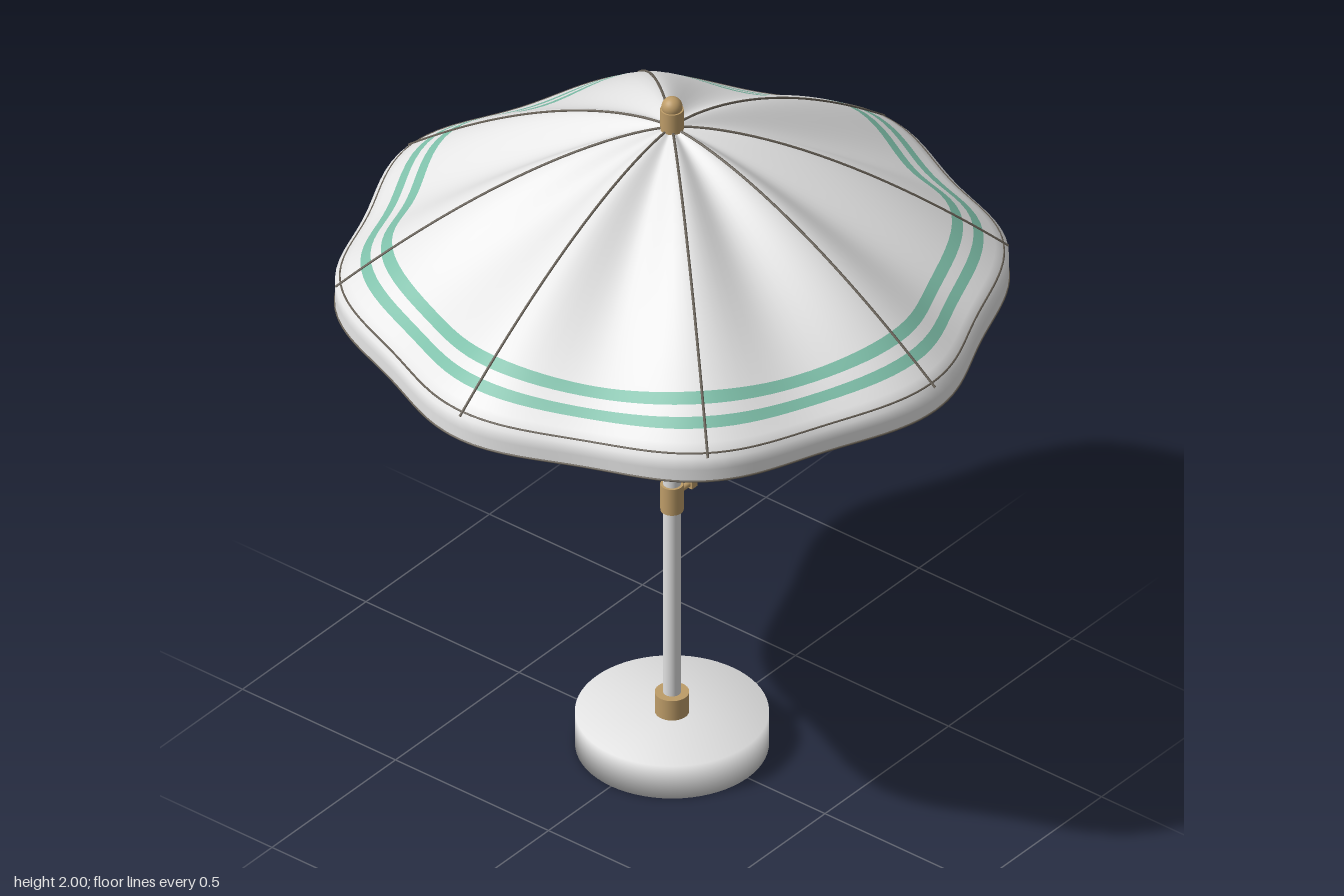
import * as THREE from 'three';

const mat = (name, color, side = THREE.FrontSide) => {
  const m = new THREE.MeshStandardMaterial({ color, side });
  m.name = name;
  return m;
};

const PANELS = 8, COLS = 128, RIM = 0.86;

// Cloth point: t runs from the crown (0) to the rim (1), then down the valance to its hem (2)
const wave = a => (1 - Math.cos(PANELS * a)) / 2;
function clothPoint(t, a, lift = 0, inset = 0) {
  const w = wave(a), d = Math.min(t, 1), s = Math.max(t - 1, 0);
  const r = RIM * d * (1 - 0.05 * w) - inset;
  const dome = 1.91 - 0.433 * Math.pow(d, 1.58) - w * (0.042 * Math.sin(Math.PI * d) + 0.008 * d);
  const y = dome + s * (1.408 - 0.004 * w - dome) + lift;
  return new THREE.Vector3(r * Math.cos(a), y, r * Math.sin(a));
}

// Closed ring surface from rows; each row's band to the next may have its own material index
function ringSurface(rows, point, flip, bandMaterial) {
  const pos = [], idx = [];
  const g = new THREE.BufferGeometry();
  rows.forEach(t => {
    for (let j = 0; j < COLS; j++) pos.push(...point(t, j / COLS * Math.PI * 2).toArray());
  });
  for (let i = 0; i < rows.length - 1; i++) {
    g.addGroup(idx.length, COLS * 6, bandMaterial((rows[i] + rows[i + 1]) / 2));
    for (let j = 0; j < COLS; j++) {
      const k = (j + 1) % COLS;
      const a = i * COLS + j, b = i * COLS + k, c = a + COLS, d = b + COLS;
      if (flip) idx.push(a, c, b, b, c, d);
      else idx.push(a, b, c, b, d, c);
    }
  }
  g.setAttribute('position', new THREE.Float32BufferAttribute(pos, 3));
  g.setIndex(idx);
  g.computeVertexNormals();
  return g;
}

export function createModel() {
  const model = new THREE.Group();
  model.name = 'parasol';

  const fabric = mat('white fabric', 0xe6e6e6, THREE.DoubleSide);
  const stripe = mat('green stripe', 0x7fc0aa, THREE.DoubleSide);
  const lining = mat('sage lining', 0xa2b5a4);
  const metal = mat('pale metal', 0xe0e0e0);
  const brass = mat('brass', 0xbd9c68);
  const trim = mat('dark trim', 0x665f55);
  const stone = mat('base stone', 0xe2e2e2);

  const add = (name, geometry, material, parent = model) => {
    const m = new THREE.Mesh(geometry, material);
    m.name = name;
    parent.add(m);
    return m;
  };
  // Turned solid with soft normals running over its rims
  const turned = (name, r, y0, y1, material) => add(name, new THREE.LatheGeometry(
    [[0, y0], [r, y0], [r, y1], [0, y1]].map(p => new THREE.Vector2(...p)), 64), material);
  const cylinder = (name, r, y0, y1, material) => {
    const m = add(name, new THREE.CylinderGeometry(r, r, y1 - y0, 32), material);
    m.position.y = (y0 + y1) / 2;
    return m;
  };
  const tube = (name, points, r, material, parent, closed = false) =>
    add(name, new THREE.TubeGeometry(new THREE.CatmullRomCurve3(points, closed),
      closed ? 192 : 24, r, 8, closed), material, parent);
  const ring = point => Array.from({ length: 96 }, (_, i) => point(i / 96 * Math.PI * 2));

  // Base, pole and fittings
  turned('base', 0.247, 0, 0.1, stone);
  turned('pole', 0.023, 0.09, 1.91, metal);
  cylinder('baseCollar', 0.044, 0.1, 0.16, brass);
  cylinder('heightClamp', 0.03, 0.725, 0.805, brass);
  const screw = cylinder('clampScrew', 0.008, 0, 0.06, brass);
  screw.rotation.z = Math.PI / 2;
  screw.position.set(0.05, 0.767, 0);
  add('clampKnob', new THREE.BoxGeometry(0.022, 0.024, 0.024), brass).position.set(0.077, 0.767, 0);
  cylinder('runnerHub', 0.036, 1.515, 1.59, brass);
  cylinder('crownHub', 0.032, 1.85, 1.88, metal);

  // Finial
  cylinder('finialCollar', 0.03, 1.905, 1.966, brass);
  add('finialBall', new THREE.SphereGeometry(0.027, 32, 16), brass).position.y = 1.973;

  // Canopy cloth with two woven stripes and a valance, and the lining inside
  const stripes = [[0.831, 0.864], [0.895, 0.925]];
  const dome = [0.01, 0.04];
  for (let t = 0.08; t < 0.82; t += 0.05) dome.push(t);
  dome.push(...stripes[0], ...stripes[1], 0.96, 1);
  add('canopy', ringSurface([...dome, 1.5, 2], (t, a) => clothPoint(t, a), false,
    t => (stripes.some(s => t > s[0] && t < s[1]) ? 1 : 0)), [fabric, stripe]);
  add('canopyLining', ringSurface([...dome, 1.65],
    (t, a) => clothPoint(t, a, t > 1 ? 0 : -0.007, 0.005 * Math.min(t, 1)), true, () => 0), [lining]);

  // Hem piping
  tube('rimStitch', ring(a => clothPoint(0.985, a, -0.0015)), 0.003, trim, model, true);
  tube('valanceHem', ring(a => clothPoint(2, a)), 0.003, trim, model, true);

  // Ribs, seams, struts and tips
  for (let i = 0; i < PANELS; i++) {
    const a = i / PANELS * Math.PI * 2;
    const frame = new THREE.Group();
    frame.name = 'rib' + (i + 1);
    model.add(frame);
    const along = (t0, t1, lift) => Array.from({ length: 14 },
      (_, k) => clothPoint(t0 + (t1 - t0) * k / 13, a, lift));
    tube('seam', along(0.02, 1, 0.001), 0.0035, trim, frame);
    tube('ribRod', along(0.03, 0.975, -0.02), 0.009, metal, frame);
    const hub = new THREE.Vector3(0.03 * Math.cos(a), 1.555, 0.03 * Math.sin(a));
    tube('strut', [hub, clothPoint(0.55, a, -0.025)], 0.008, metal, frame);
    add('ribTip', new THREE.SphereGeometry(0.014, 16, 12), brass, frame)
      .position.copy(clothPoint(0.972, a, -0.022));
  }
  return model;
}
